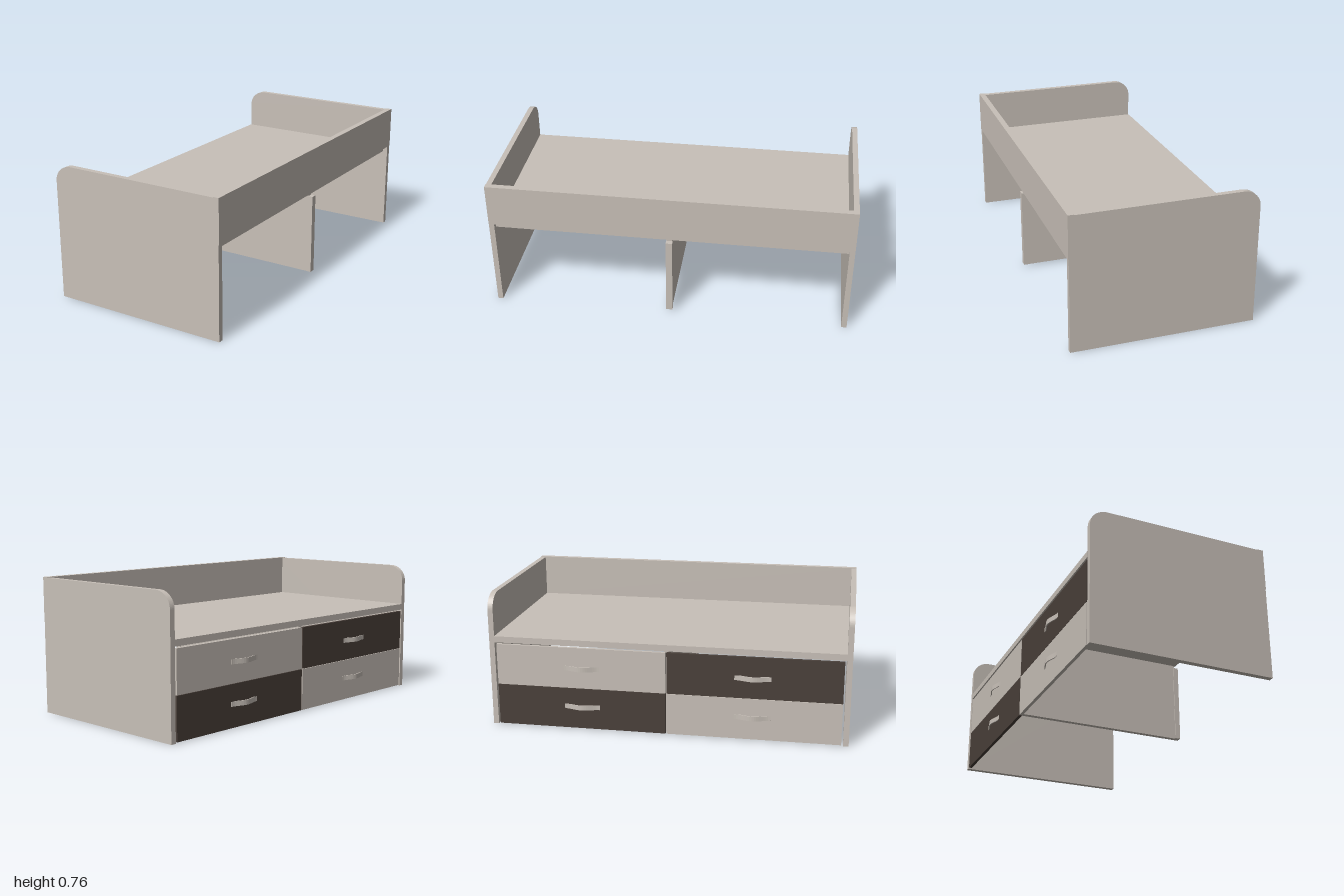
import * as THREE from 'three';

const wood = new THREE.MeshStandardMaterial({ color: 0xc8c0b8 });
wood.name = 'pale wood';
const dark = new THREE.MeshStandardMaterial({ color: 0x4a403a });
dark.name = 'dark brown';

export function createModel() {
  const group = new THREE.Group();

  const add = (name, geometry, material = wood) => {
    const mesh = new THREE.Mesh(geometry, material);
    mesh.name = name;
    group.add(mesh);
    return mesh;
  };

  // Box given by its limits on each axis
  const box = (name, [x0, x1], [y0, y1], [z0, z1], material) =>
    add(name, new THREE.BoxGeometry(x1 - x0, y1 - y0, z1 - z0), material)
      .position.set((x0 + x1) / 2, (y0 + y1) / 2, (z0 + z1) / 2);

  // End boards with one rounded upper corner on the drawer side
  const board = new THREE.Shape();
  board.moveTo(-0.498, 0);
  board.lineTo(0.518, 0);
  board.lineTo(0.518, 0.757);
  board.lineTo(-0.398, 0.757);
  board.absellipse(-0.398, 0.667, 0.1, 0.09, Math.PI / 2, Math.PI, false);
  board.closePath();
  const boardGeometry = new THREE.ExtrudeGeometry(board, {
    depth: 0.03, bevelEnabled: false, curveSegments: 10,
  });
  add('endBoardFront', boardGeometry).position.z = 0.97;
  add('endBoardBack', boardGeometry).position.z = -1;

  // Side rail, mattress deck, central divider and its edge post
  box('sideRail', [0.487, 0.52], [0.519, 0.76], [-1, 1]);
  box('deck', [-0.5, 0.49], [0.485, 0.52], [-0.97, 0.97]);
  box('divider', [-0.48, 0.478], [0.01, 0.485], [-0.013, 0.013]);
  box('dividerPost', [0.475, 0.505], [0.012, 0.47], [-0.018, 0.018]);

  // Bowed strip handle, drawn in plan and extruded upwards
  const outer = [], inner = [];
  for (let i = 0; i <= 16; i++) {
    const t = i / 8 - 1;
    const bow = 0.022 * (0.5 + 0.5 * Math.cos(Math.PI * t));
    outer.push(new THREE.Vector2(-0.4985 - bow, t * 0.1));
    inner.unshift(new THREE.Vector2(-0.4925 - bow, t * 0.1));
  }
  const handleGeometry = new THREE.ExtrudeGeometry(
    new THREE.Shape([...outer, ...inner]), { depth: 0.027, bevelEnabled: false });
  handleGeometry.rotateX(-Math.PI / 2);

  // Four drawer fronts in a checker of two colours, each with a handle
  for (const side of [-1, 1]) {
    for (const row of [0, 1]) {
      const y = 0.005 + row * 0.236;
      const z = [side * 0.003, side * 0.96].sort((a, b) => a - b);
      const isDark = (side > 0) === (row === 1);
      box('drawerFront', [-0.498, -0.48], [y, y + 0.234], z, isDark ? dark : wood);
      add('drawerHandle', handleGeometry).position.set(0, 0.119 + row * 0.224, side * 0.475);
    }
  }

  return group;
}
